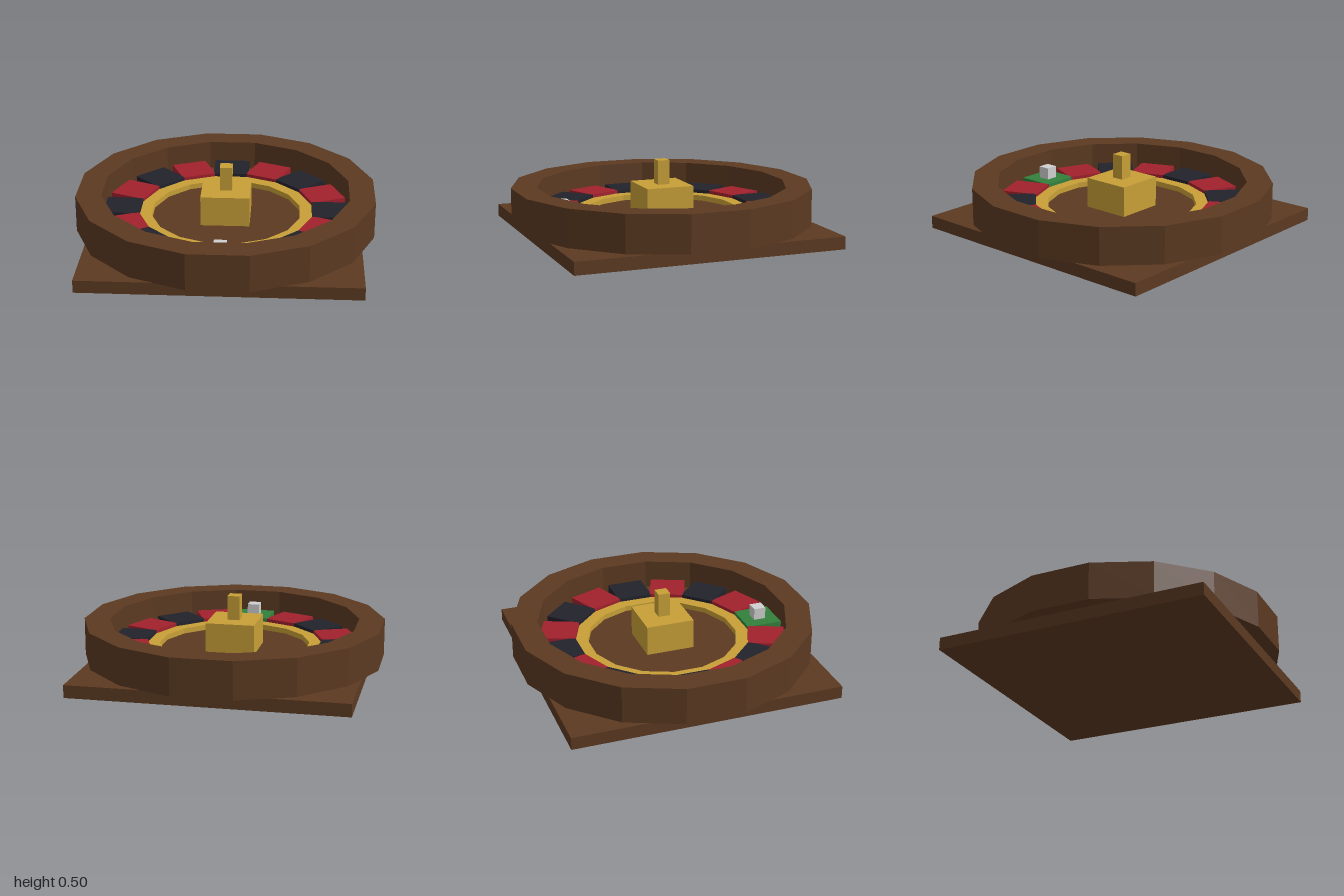
import * as THREE from 'three';

const SIDES = 16;
const STEP = (Math.PI * 2) / SIDES;

function material(name, color) {
  const m = new THREE.MeshStandardMaterial({ color });
  m.name = name;
  return m;
}

// Corners of a regular polygon whose flat sides lie at the given distance
function ringPoints(apothem) {
  const r = apothem / Math.cos(STEP / 2);
  return Array.from({ length: SIDES }, (_, i) => {
    const a = (i + 0.5) * STEP;
    return new THREE.Vector2(r * Math.cos(a), r * Math.sin(a));
  });
}

// Upright prism from a ground outline, between two heights
function prism(points, y0, y1, holePoints) {
  const shape = new THREE.Shape(points);
  if (holePoints) shape.holes.push(new THREE.Path(holePoints));
  const g = new THREE.ExtrudeGeometry(shape, { depth: y1 - y0, bevelEnabled: false });
  g.rotateX(-Math.PI / 2);
  g.translate(0, y0, 0);
  return g;
}

function block(w, y0, y1, z = 0) {
  return new THREE.BoxGeometry(w, y1 - y0, w).translate(0, (y0 + y1) / 2, z);
}

export function createModel() {
  const wood = material('wood brown', 0x5c3a21);
  const gold = material('gold', 0xc8a038);
  const red = material('pocket red', 0xa2212d);
  const black = material('pocket black', 0x22222c);
  const green = material('pocket green', 0x33803c);
  const white = material('ball white', 0xd0d0d0);

  const model = new THREE.Group();
  model.name = 'wheelTable';
  const add = (name, geometry, mat, parent = model) => {
    const mesh = new THREE.Mesh(geometry, mat);
    mesh.name = name;
    parent.add(mesh);
    return mesh;
  };

  // Square base, wheel floor and high outer rim
  add('base', block(1.826, 0, 0.085), wood);
  add('wheelFloor', prism(ringPoints(0.84), 0.08, 0.13), wood);
  add('outerRim', prism(ringPoints(1), 0.085, 0.335, ringPoints(0.83)), wood);

  // Low gold ring inside the pockets
  add('innerRing', prism(ringPoints(0.583), 0.12, 0.167, ringPoints(0.5)), gold);

  // Pockets, narrowed at the inner end where neighbours meet
  const pockets = new THREE.Group();
  pockets.name = 'pockets';
  model.add(pockets);
  const outline = [
    [-0.116, -0.583], [-0.125, -0.628], [-0.125, -0.832],
    [0.125, -0.832], [0.125, -0.628], [0.116, -0.583],
  ].map(([x, y]) => new THREE.Vector2(x, y));
  const pocketGeometry = prism(outline, 0.12, 0.19);
  for (let i = 0; i < SIDES; i++) {
    const mat = i === 0 ? green : i % 2 ? red : black;
    add('pocket' + (i + 1), pocketGeometry, mat, pockets).rotation.y = i * STEP;
  }

  // Central hub with its spindle, and the ball resting on the green pocket
  add('hub', block(0.33, 0.12, 0.335), gold);
  add('spindle', block(0.083, 0.335, 0.5), gold);
  add('ball', block(0.083, 0.19, 0.272, 0.705), white);

  return model;
}
